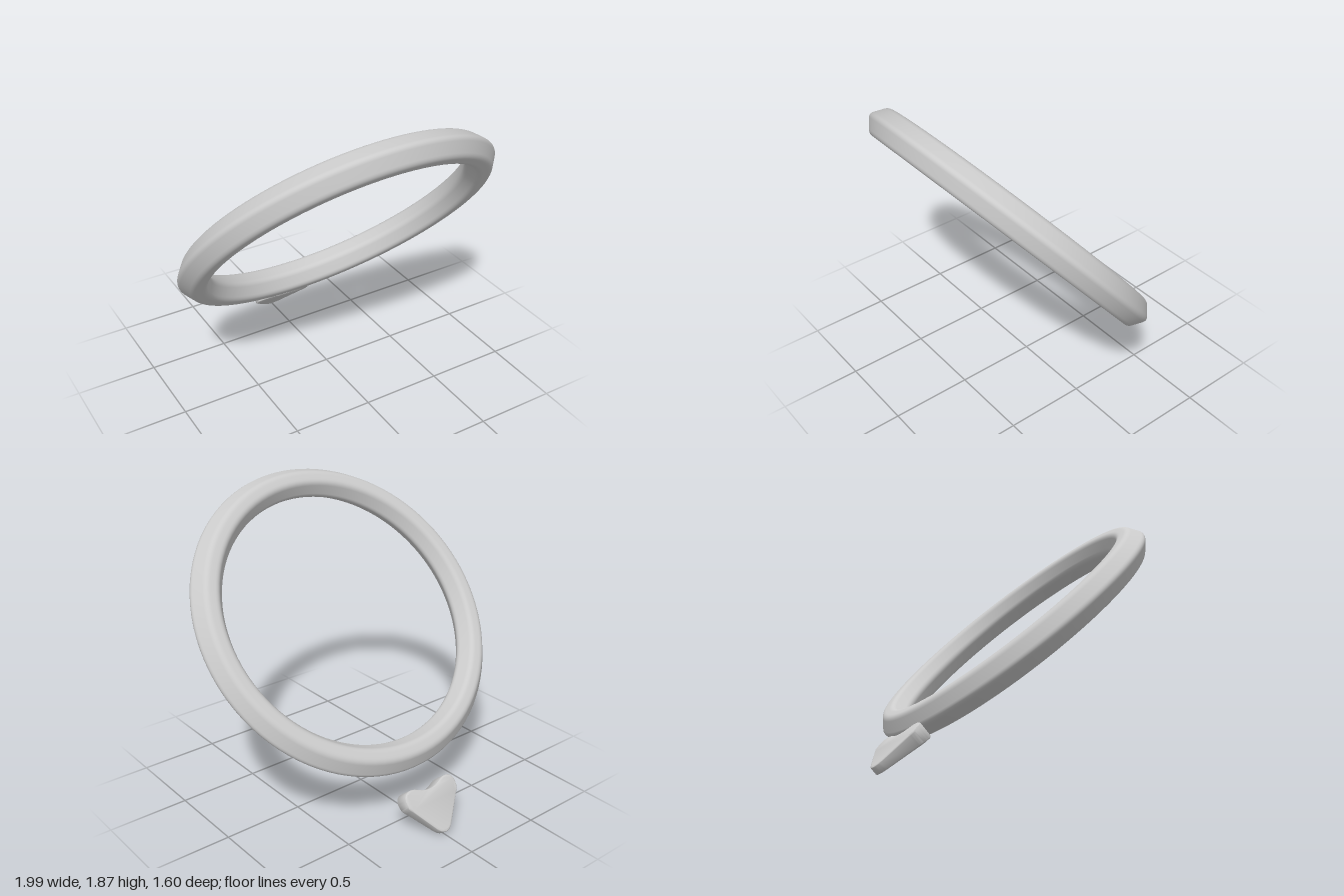
import * as THREE from 'three';
import { toCreasedNormals } from 'three/addons/utils/BufferGeometryUtils.js';

const V = (x, y) => new THREE.Vector2(x, y);

// Closed outline with every corner rounded; starts and ends mid-edge.
function roundedLoop(corners, radii, steps) {
  const n = corners.length;
  const first = corners[n - 1].clone().lerp(corners[0], 0.5);
  const points = [first];
  corners.forEach((c, i) => {
    const toward = (o) => c.clone().add(o.clone().sub(c).setLength(radii[i]));
    const a = toward(corners[(i + n - 1) % n]);
    const b = toward(corners[(i + 1) % n]);
    points.push(...new THREE.QuadraticBezierCurve(a, c, b).getPoints(steps));
  });
  points.push(first.clone());
  return points;
}

export function createModel() {
  const model = new THREE.Group();
  const material = new THREE.MeshStandardMaterial({ color: 0xcccccc });

  // Both parts lie in one plane, leaning forward at the top
  const tilted = new THREE.Group();
  tilted.name = 'tiltedAssembly';
  tilted.rotation.x = THREE.MathUtils.degToRad(40);
  tilted.position.set(0, 1.103, 0.137);
  model.add(tilted);

  // Ring: softened six-sided section swept around the axis
  const section = [
    V(0.937, -0.093), V(1.005, 0), V(0.937, 0.093),
    V(0.858, 0.093), V(0.803, 0), V(0.858, -0.093),
  ];
  const ringGeometry = new THREE.LatheGeometry(
    roundedLoop(section, section.map(() => 0.025), 5), 96);
  ringGeometry.rotateX(Math.PI / 2);
  const ring = new THREE.Mesh(ringGeometry, material);
  ring.name = 'ring';
  tilted.add(ring);

  // Pointer: rounded triangle with a dished edge facing the ring
  const bevel = 0.012;
  const shape = new THREE.Shape();
  shape.moveTo(0, -1.157);
  shape.bezierCurveTo(0.07, -1.157, 0.09, -1.123, 0.135, -1.123);
  shape.bezierCurveTo(0.17, -1.123, 0.184, -1.14, 0.184, -1.17);
  shape.bezierCurveTo(0.184, -1.2, 0.178, -1.207, 0.162, -1.224);
  shape.lineTo(0.048, -1.372);
  shape.bezierCurveTo(0.018, -1.411, -0.018, -1.411, -0.048, -1.372);
  shape.lineTo(-0.162, -1.224);
  shape.bezierCurveTo(-0.178, -1.207, -0.184, -1.2, -0.184, -1.17);
  shape.bezierCurveTo(-0.184, -1.14, -0.17, -1.123, -0.135, -1.123);
  shape.bezierCurveTo(-0.09, -1.123, -0.07, -1.157, 0, -1.157);
  const depth = 0.08;
  const pointerGeometry = new THREE.ExtrudeGeometry(shape, {
    depth, bevelEnabled: true, bevelSize: bevel, bevelThickness: bevel,
    bevelSegments: 4, curveSegments: 10,
  });
  pointerGeometry.translate(0, 0, -depth / 2);

  // Thin the pointer toward its tip
  const p = pointerGeometry.attributes.position;
  for (let i = 0; i < p.count; i++) {
    const t = THREE.MathUtils.clamp((-1.11 - p.getY(i)) / 0.31, 0, 1);
    p.setZ(i, p.getZ(i) * (1.02 - 0.52 * t) - 0.005);
  }
  const pointer = new THREE.Mesh(toCreasedNormals(pointerGeometry, 0.7), material);
  pointer.name = 'pointer';
  tilted.add(pointer);

  return model;
}
